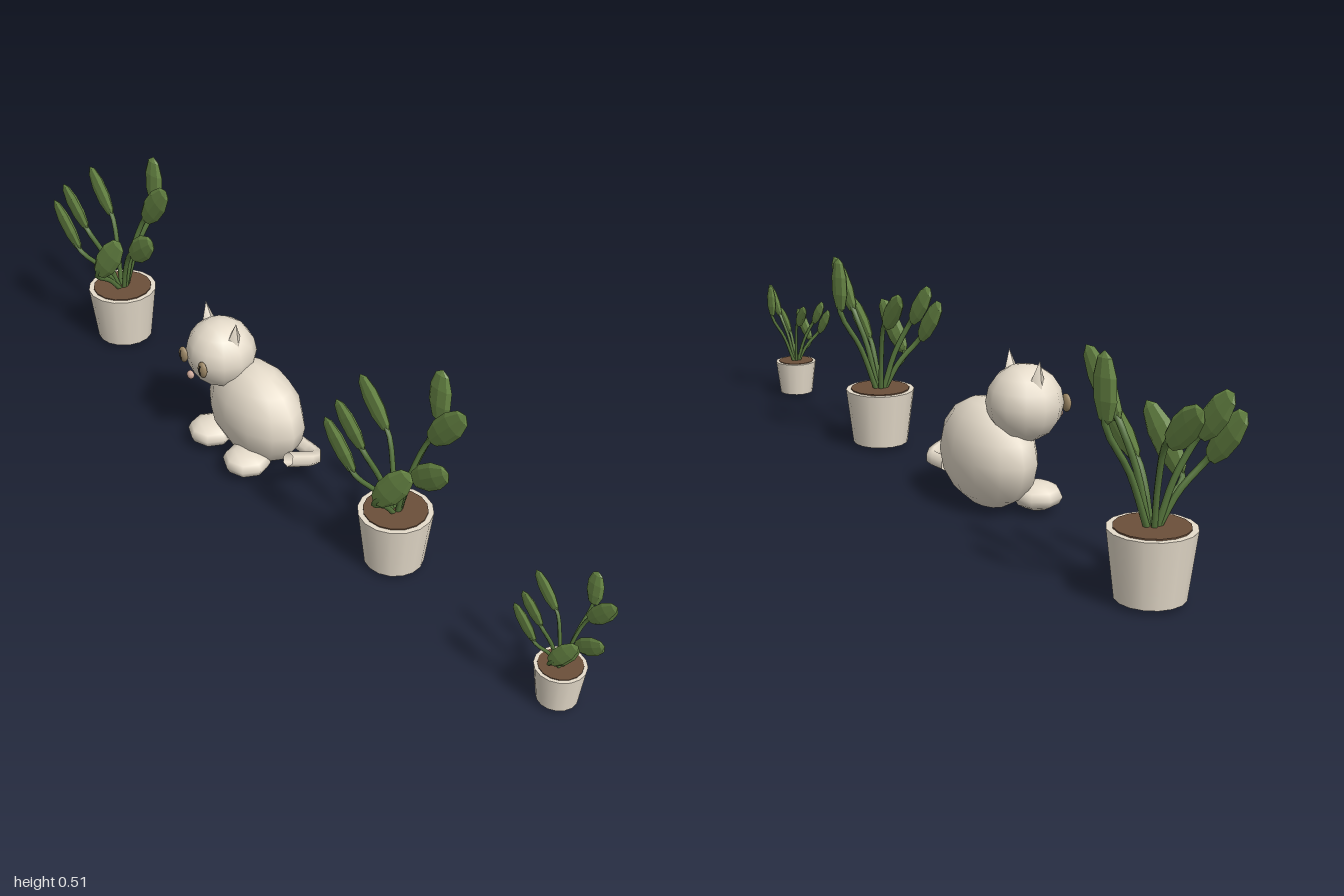
import * as THREE from 'three';

const mat = (color, extra = {}) => new THREE.MeshStandardMaterial({ color, ...extra });
const potMat = mat(0xe6dccb);
const furMat = mat(0xe6dccb);
const tailMat = mat(0xe6dccb, { side: THREE.DoubleSide });
const leafMat = mat(0x6c8c48, { flatShading: true });
const stemMat = mat(0x56753c);
const soilMat = mat(0x6b4f3a);
const eyeMat = mat(0x9c8766);
const pupilMat = mat(0x2a2520);
const noseMat = mat(0xc9a596);
const V = (x, y, z) => new THREE.Vector3(x, y, z);

function add(parent, name, geometry, material, pos = [0, 0, 0]) {
  const mesh = new THREE.Mesh(geometry, material);
  mesh.name = name;
  mesh.position.set(...pos);
  parent.add(mesh);
  return mesh;
}

// Scaled sphere
const blob = (parent, name, pos, size, material = furMat, w = 12, h = 8) =>
  add(parent, name, new THREE.SphereGeometry(1, w, h).scale(...size), material, pos);

// Leaf blades: lower end, tip (relative to the pot's bottom centre), sideways turn of the face
const LEAVES = [
  [[0.01, 0.355, -0.106], [0.015, 0.5, -0.108], 0.15],
  [[0.045, 0.345, -0.05], [0.155, 0.475, -0.058], 0.15],
  [[-0.055, 0.325, -0.015], [-0.175, 0.42, -0.022], 0],
  [[0.05, 0.26, 0.0], [0.175, 0.355, 0.0], 0],
  [[-0.03, 0.27, 0.1], [-0.125, 0.385, 0.116], -0.1],
  [[-0.035, 0.32, 0.072], [-0.12, 0.425, 0.088], -0.1],
  [[0.03, 0.22, 0.09], [0.125, 0.355, 0.066], 0.35],
];

function makePlant(name, pos, scale) {
  const plant = new THREE.Group();
  plant.name = name;
  add(plant, 'pot', new THREE.CylinderGeometry(0.09, 0.072, 0.143, 16), potMat, [0, 0.0715, 0]);
  add(plant, 'soil', new THREE.CylinderGeometry(0.077, 0.077, 0.008, 16), soilMat, [0, 0.142, 0]);

  for (const [a, b, turn] of LEAVES) {
    const base = V(...a), tip = V(...b);
    const dir = tip.clone().sub(base);
    const length = dir.length();
    dir.normalize();

    // Blade: flattened faceted sphere with its face towards the front
    const side = dir.clone().cross(V(turn, 0, 1)).normalize();
    const face = side.clone().cross(dir);
    const blade = add(plant, 'leaf',
      new THREE.SphereGeometry(1, 8, 5).scale(0.034, length / 2, 0.012), leafMat);
    blade.quaternion.setFromRotationMatrix(new THREE.Matrix4().makeBasis(side, dir, face));
    blade.position.copy(base).lerp(tip, 0.5);

    // Stem: rises from the soil and bends outwards into the blade
    const root = V(base.x * 0.15, 0.14, base.z * 0.1);
    const mid = V(base.x * 0.45, 0.14 + (base.y - 0.14) * 0.55, base.z * 0.5);
    const end = base.clone().lerp(tip, 0.45);
    const path = new THREE.CatmullRomCurve3([root, mid, base, end]);
    add(plant, 'stem', new THREE.TubeGeometry(path, 10, 0.007, 6), stemMat);
  }
  plant.position.set(...pos);
  plant.scale.setScalar(scale);
  return plant;
}

function makeCat() {
  const cat = new THREE.Group();
  cat.name = 'cat';
  blob(cat, 'body', [-0.178, 0.125, 0], [0.157, 0.125, 0.094]);
  blob(cat, 'head', [-0.27, 0.257, 0.038], [0.09, 0.086, 0.085]);

  // Face, ears and paws in pairs
  for (const s of [-1, 1]) {
    const x = -0.27 + s * 0.042;
    blob(cat, 'eye', [x, 0.255, 0.119], [0.016, 0.021, 0.009], eyeMat, 10, 8);
    blob(cat, 'pupil', [x, 0.255, 0.126], [0.004, 0.014, 0.003], pupilMat, 8, 6);
    const ear = add(cat, 'ear', new THREE.ConeGeometry(0.028, 0.078, 4), furMat,
      [-0.27 + s * 0.057, 0.326, 0.036]);
    ear.rotation.z = -s * 0.2;
    blob(cat, 'paw', [-0.193 + s * 0.077, 0.038, 0.073], [0.06, 0.032, 0.058], furMat, 8, 6);
  }
  blob(cat, 'nose', [-0.27, 0.222, 0.127], [0.011, 0.011, 0.009], noseMat, 8, 6);

  // Tail: leaves the rear sideways, then turns sharply to the front
  const tail = new THREE.CatmullRomCurve3([
    V(-0.07, 0.07, -0.045), V(0.0, 0.07, -0.047), V(0.015, 0.076, -0.03),
    V(0.017, 0.09, 0.005), V(0.018, 0.108, 0.046),
  ]);
  add(cat, 'tail', new THREE.TubeGeometry(tail, 8, 0.018, 6), tailMat);
  return cat;
}

export function createModel() {
  const model = new THREE.Group();
  model.name = 'catWithPottedPlants';
  model.add(
    makePlant('largePlant', [-0.825, 0.01, -0.01], 1),
    makePlant('mediumPlant', [0.35, 0.01, -0.01], 0.95),
    makePlant('smallPlant', [0.889, 0.01, -0.007], 0.61),
    makeCat(),
  );
  return model;
}
